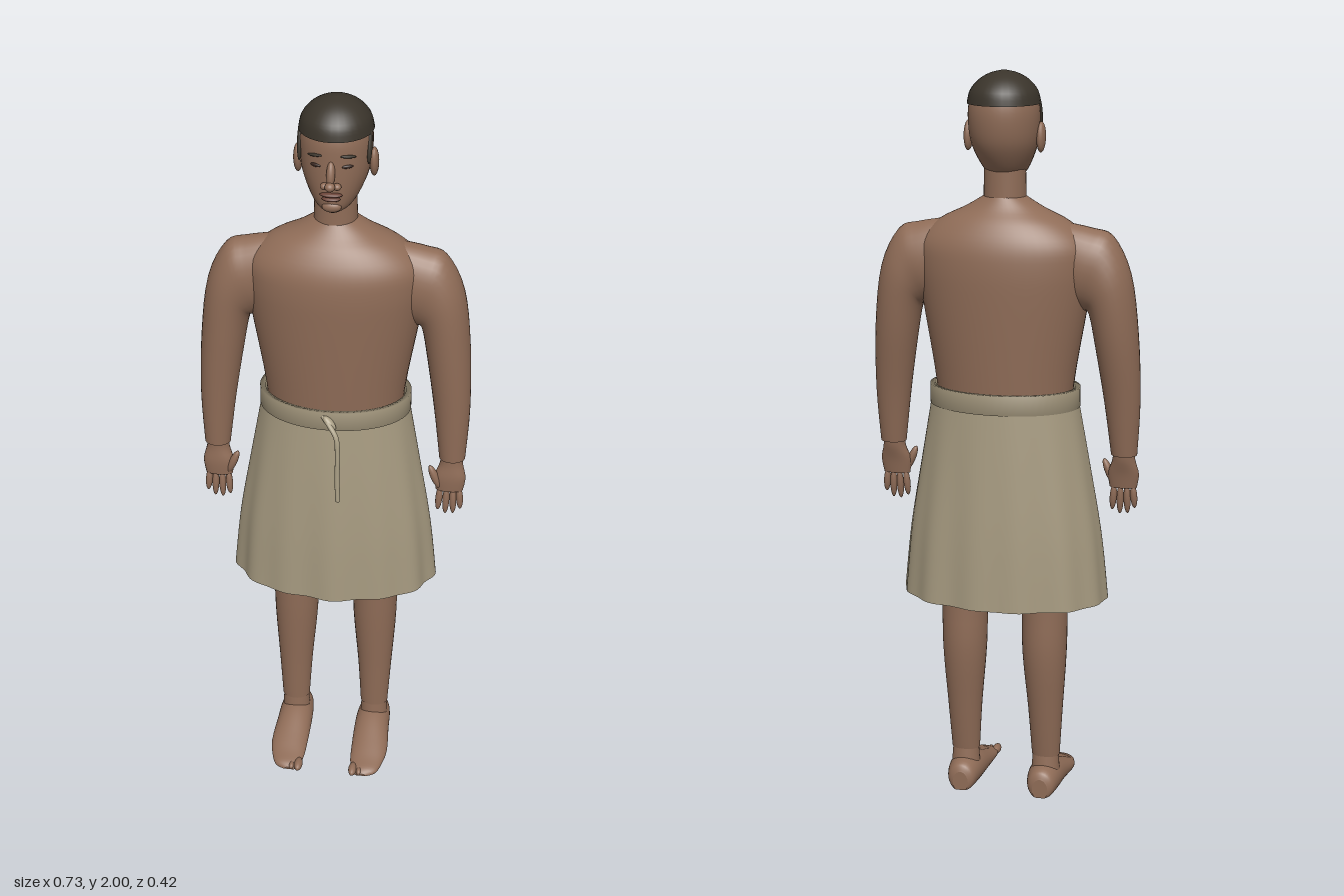
import * as THREE from 'three';

const mat = (name, color, side = THREE.FrontSide) => {
  const m = new THREE.MeshStandardMaterial({ color, side });
  m.name = name;
  return m;
};

// Catmull-Rom blend of one number
const spline = (a, b, c, d, t) => 0.5 * (2 * b + (c - a) * t + (2 * a - 5 * b + 4 * c - d) * t * t + (3 * b - a - 3 * c + d) * t * t * t);

// Horizontal elliptical ring: height, half width, front z, back z, centre x
const ring = (y, hx, zf, zb, cx = 0) => [cx, y, (zf + zb) / 2, hx, 0, 0, 0, 0, (zf - zb) / 2];

// Smooth skin through rings [centre, axis u, axis v]; s = -1 mirrors it in x
function loft(rings, { seg = 32, sub = 4, caps = true, s = 1 } = {}) {
  const fine = [], n = rings.length;
  for (let i = 0; i < n - 1; i++) {
    const [a, b, c, d] = [rings[Math.max(i - 1, 0)], rings[i], rings[i + 1], rings[Math.min(i + 2, n - 1)]];
    for (let k = 0; k < sub; k++) fine.push(b.map((_, j) => spline(a[j], b[j], c[j], d[j], k / sub)));
  }
  fine.push(rings[n - 1]);
  const V = (r, o) => new THREE.Vector3(r[o] * s, r[o + 1], r[o + 2]);
  const along = V(fine[1], 0).sub(V(fine[0], 0));
  const turn = V(fine[0], 3).cross(V(fine[0], 6)).dot(along) < 0 ? -1 : 1;
  const pos = [], idx = [];
  const addRing = r => {
    for (let j = 0; j < seg; j++) {
      const a = (j / seg) * Math.PI * 2;
      pos.push(...V(r, 0).addScaledVector(V(r, 3), Math.cos(a)).addScaledVector(V(r, 6), turn * Math.sin(a)).toArray());
    }
  };
  fine.forEach(addRing);
  for (let i = 0; i < fine.length - 1; i++) for (let j = 0; j < seg; j++) {
    const a = i * seg + j, b = i * seg + (j + 1) % seg;
    idx.push(a, b, a + seg, b, b + seg, a + seg);
  }
  if (caps) [fine[0], fine[fine.length - 1]].forEach((r, end) => {
    const o = pos.length / 3;
    addRing(r);
    pos.push(...V(r, 0).toArray());
    for (let j = 0; j < seg; j++) {
      const k = (j + 1) % seg;
      idx.push(o + seg, o + (end ? j : k), o + (end ? k : j));
    }
  });
  const g = new THREE.BufferGeometry();
  g.setAttribute('position', new THREE.Float32BufferAttribute(pos, 3));
  g.setIndex(idx);
  g.computeVertexNormals();
  return g;
}

export function createModel() {
  const model = new THREE.Group();
  const skin = mat('skin', 0x8f6c57), hairMat = mat('hair', 0x3a342b), dark = mat('eyeDark', 0x35241d);
  const lip = mat('lip', 0x6a4337), cloth = mat('cloth', 0xa69a80, THREE.DoubleSide);
  const band = mat('bandCloth', 0x9c9077, THREE.DoubleSide), cord = mat('cord', 0xaca187);

  const add = (name, geo, m, parent = model) => {
    const mesh = new THREE.Mesh(geo, m);
    mesh.name = name;
    parent.add(mesh);
    return mesh;
  };
  const blob = (name, m, p, r, parent = model, rot = [0, 0, 0]) => {
    const b = add(name, new THREE.SphereGeometry(1, 20, 14), m, parent);
    b.position.set(...p);
    b.scale.set(...r);
    b.rotation.set(...rot);
    return b;
  };

  // Torso and neck
  add('torso', loft([
    ring(1.0, 0.178, 0.085, -0.15), ring(1.17, 0.186, 0.095, -0.16), ring(1.4, 0.224, 0.105, -0.17),
    ring(1.5, 0.236, 0.106, -0.17), ring(1.56, 0.228, 0.096, -0.16), ring(1.61, 0.175, 0.07, -0.135),
    ring(1.645, 0.105, 0.04, -0.105), ring(1.675, 0.055, 0.018, -0.085),
  ], { seg: 48 }), skin);
  add('neck', loft([ring(1.63, 0.057, 0.022, -0.086), ring(1.7, 0.056, 0.02, -0.085), ring(1.79, 0.054, 0.02, -0.085)]), skin);

  // Head and close-cropped hair
  const head = new THREE.Group();
  head.name = 'head';
  model.add(head);
  add('skull', loft([
    ring(1.717, 0.024, 0.04, -0.03), ring(1.73, 0.046, 0.051, -0.07), ring(1.76, 0.066, 0.056, -0.1),
    ring(1.81, 0.086, 0.058, -0.13), ring(1.86, 0.093, 0.058, -0.142), ring(1.91, 0.092, 0.055, -0.142),
    ring(1.95, 0.078, 0.038, -0.127), ring(1.98, 0.045, 0, -0.09),
  ]), skin, head);
  add('hair', loft([
    ring(1.916, 0.096, 0.058, -0.145), ring(1.948, 0.088, 0.049, -0.137), ring(1.975, 0.066, 0.024, -0.112),
    ring(1.992, 0.037, -0.006, -0.081), ring(2.0, 0.006, -0.038, -0.05),
  ]), hairMat, head);

  // Face
  blob('noseBridge', skin, [0, 1.833, 0.063], [0.011, 0.034, 0.014], head, [-0.3, 0, 0]);
  blob('noseTip', skin, [0, 1.806, 0.079], [0.013, 0.012, 0.014], head);
  blob('upperLip', lip, [0, 1.775, 0.057], [0.029, 0.006, 0.012], head);
  blob('lowerLip', lip, [0, 1.763, 0.056], [0.024, 0.006, 0.012], head);
  blob('chin', skin, [0, 1.737, 0.046], [0.025, 0.015, 0.013], head);
  for (const s of [1, -1]) {
    blob('nostril', skin, [0.016 * s, 1.801, 0.064], [0.011, 0.009, 0.011], head);
    blob('eye', dark, [0.04 * s, 1.85, 0.047], [0.015, 0.005, 0.005], head, [0, 0.4 * s, 0]);
    blob('eyebrow', hairMat, [0.042 * s, 1.877, 0.047], [0.021, 0.004, 0.006], head, [0, 0.45 * s, -0.12 * s]);
    blob('ear', skin, [0.097 * s, 1.83, -0.037], [0.012, 0.04, 0.022], head, [0.1, 0, 0]);
    blob('sideburn', hairMat, [0.088 * s, 1.887, -0.012], [0.007, 0.05, 0.011], head, [-0.3, 0, 0]);
  }

  // Arm ring from outer and inner edge points (x, y) and z range
  const armRing = (ox, oy, ix, iy, zf, zb) =>
    [(ox + ix) / 2, (oy + iy) / 2, (zf + zb) / 2, (ox - ix) / 2, (oy - iy) / 2, 0, 0, 0, (zf - zb) / 2];

  for (const s of [1, -1]) {
    const arm = new THREE.Group();
    arm.name = s > 0 ? 'leftArm' : 'rightArm';
    model.add(arm);
    add('armBody', loft([
      armRing(0.17, 1.61, 0.15, 1.42, 0.03, -0.1), armRing(0.235, 1.598, 0.185, 1.39, 0.036, -0.106),
      armRing(0.289, 1.578, 0.212, 1.38, 0.039, -0.105), armRing(0.337, 1.48, 0.228, 1.37, 0.04, -0.104),
      armRing(0.358, 1.32, 0.245, 1.28, 0.037, -0.09), armRing(0.364, 1.14, 0.268, 1.13, 0.031, -0.06),
      armRing(0.356, 0.985, 0.286, 0.985, 0.026, -0.037),
    ], { s }), skin, arm);
    // Hand: wrist and palm, thumb, fingers
    add('palm', loft([
      ring(1.0, 0.03, 0.022, -0.03, 0.32), ring(0.97, 0.031, 0.022, -0.026, 0.32),
      ring(0.93, 0.042, 0.026, -0.014, 0.318), ring(0.89, 0.037, 0.024, -0.006, 0.317),
    ], { s, seg: 20 }), skin, arm);
    blob('thumb', skin, [0.277 * s, 0.93, 0.014], [0.011, 0.038, 0.012], arm, [0, 0, 0.4 * s]);
    [0.29, 0.309, 0.328, 0.346].forEach((x, i) => {
      const len = [0.038, 0.043, 0.042, 0.034][i];
      blob('finger', skin, [x * s, 0.9 - len, 0.01], [0.0095, len, 0.0105], arm, [-0.08, 0, (i - 1.5) * 0.05 * s]);
    });

    const leg = new THREE.Group();
    leg.name = s > 0 ? 'leftLeg' : 'rightLeg';
    model.add(leg);
    add('legBody', loft([
      ring(1.04, 0.083, 0.06, -0.13, 0.095), ring(0.8, 0.075, 0.045, -0.112, 0.105), ring(0.58, 0.064, 0.028, -0.1, 0.112),
      ring(0.42, 0.061, 0.022, -0.1, 0.113), ring(0.25, 0.048, 0.012, -0.078, 0.115), ring(0.11, 0.039, 0.006, -0.057, 0.115),
    ], { s }), skin, leg);
    add('ankle', loft([ring(0.12, 0.036, 0.003, -0.056, 0.115), ring(0.06, 0.04, 0.008, -0.064, 0.115)], { s, seg: 24 }), skin, leg);
    // Foot: sections from heel to toes with a flattened sole
    const section = (z, x, hx, h) => [x, h / 2, z, hx, 0, 0, 0, h / 2, 0];
    const foot = loft([
      section(-0.098, 0.114, 0.022, 0.06), section(-0.085, 0.114, 0.038, 0.08), section(-0.04, 0.114, 0.047, 0.088),
      section(0.02, 0.114, 0.05, 0.08), section(0.1, 0.117, 0.052, 0.052), section(0.15, 0.114, 0.046, 0.034),
      section(0.185, 0.112, 0.034, 0.024), section(0.2, 0.105, 0.015, 0.014),
    ], { s });
    const p = foot.attributes.position;
    for (let i = 0; i < p.count; i++) p.setY(i, Math.max(0.004, p.getY(i) * 1.04 - 0.004));
    foot.computeVertexNormals();
    add('foot', foot, skin, leg);
    blob('bigToe', skin, [0.079 * s, 0.013, 0.184], [0.012, 0.013, 0.026], leg);
    blob('secondToe', skin, [0.098 * s, 0.011, 0.188], [0.008, 0.01, 0.015], leg);
  }

  // Wrapped skirt, its soft folds deepening toward the hem
  const skirt = loft([
    ring(1.14, 0.198, 0.104, -0.17), ring(0.95, 0.231, 0.122, -0.185),
    ring(0.76, 0.262, 0.135, -0.198), ring(0.58, 0.28, 0.141, -0.206),
  ], { seg: 128, sub: 6, caps: false });
  const q = skirt.attributes.position;
  for (let i = 0; i < q.count; i++) {
    const x = q.getX(i), z = q.getZ(i) + 0.032, a = Math.atan2(z * 1.6, x);
    const depth = (1.14 - q.getY(i)) / 0.56;
    const f = 1 + depth * (0.022 * Math.sin(13 * a + 0.6) + 0.016 * Math.sin(8 * a + 2));
    q.setX(i, x * (1 + (f - 1) * 0.6));
    q.setZ(i, z * f - 0.032);
  }
  skirt.computeVertexNormals();
  add('skirt', skirt, cloth);

  // Waistband: outer wall, top lip and inner wall
  const wall = (y, o) => ring(y, 0.204 - o, 0.112 - o, -0.176 + o);
  add('waistband', loft([wall(1.115, 0.012), wall(1.115, 0), wall(1.168, 0), wall(1.168, 0.014), wall(1.13, 0.016)],
    { seg: 64, sub: 1, caps: false }), band);

  // Knotted cord with a hanging end
  const path = new THREE.CatmullRomCurve3([
    [-0.014, 1.155, 0.108], [0.004, 1.14, 0.126], [0.024, 1.112, 0.14],
    [0.029, 1.06, 0.145], [0.028, 0.99, 0.146], [0.03, 0.92, 0.147],
  ].map(v => new THREE.Vector3(...v)));
  add('cord', new THREE.TubeGeometry(path, 32, 0.007, 10), cord);
  blob('knot', cord, [0.004, 1.142, 0.118], [0.024, 0.01, 0.012], model, [0, -0.4, -0.75]);
  blob('cordEnd', cord, [0.03, 0.92, 0.147], [0.007, 0.007, 0.007]);
  return model;
}
